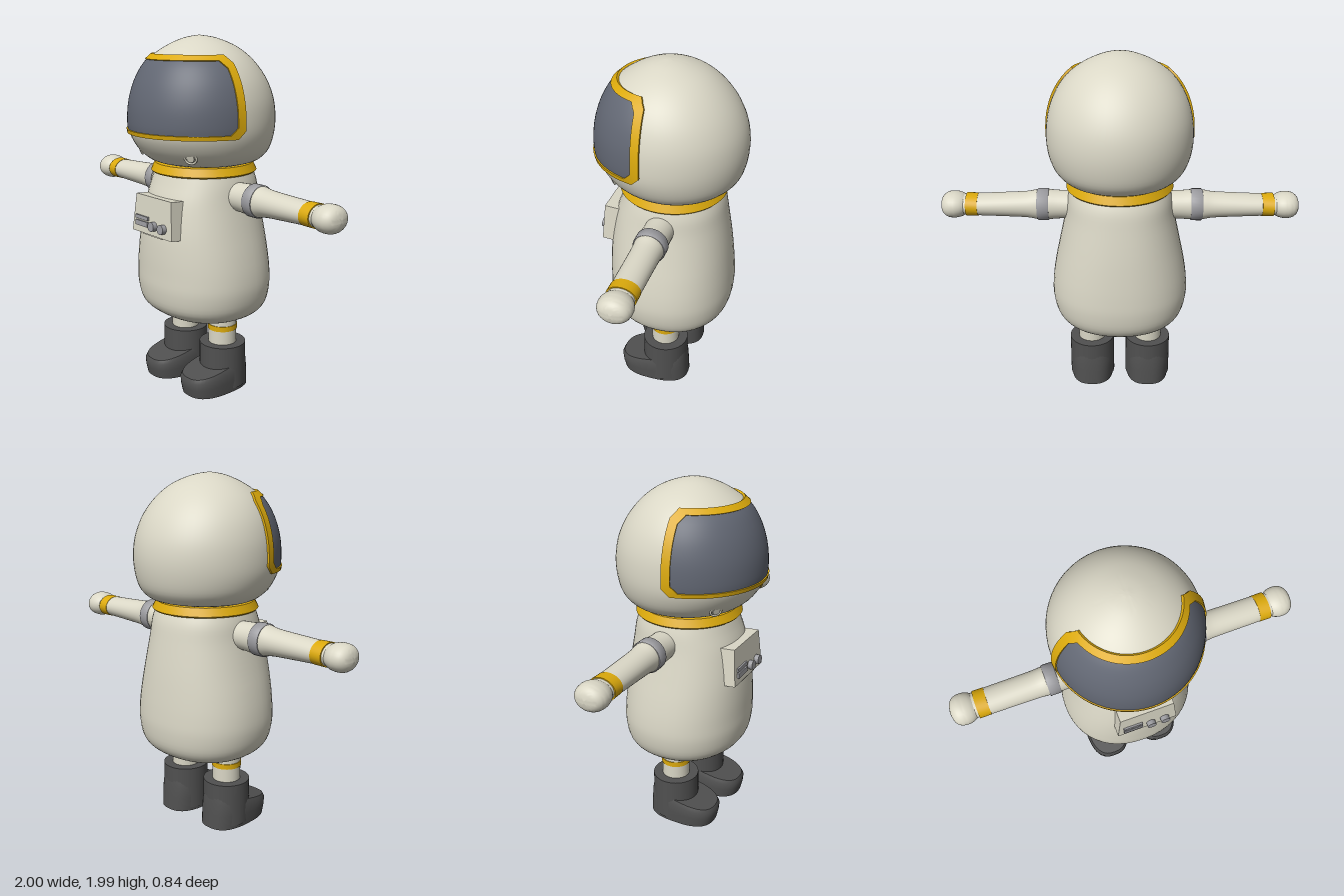
import * as THREE from 'three';
import { mergeVertices, toCreasedNormals } from 'three/addons/utils/BufferGeometryUtils.js';

const mat = (color) => new THREE.MeshStandardMaterial({ color });
const suit = mat(0xdad7c6), gold = mat(0xdcaa0c), glass = mat(0x626773);
const rubber = mat(0x505050), metal = mat(0x9c9ca0);

function add(parent, name, geometry, material, x = 0, y = 0, z = 0) {
  const mesh = new THREE.Mesh(geometry, material);
  mesh.name = name;
  mesh.position.set(x, y, z);
  parent.add(mesh);
  return mesh;
}

// Surface from point(i, j); i runs counter-clockwise, j runs up
function grid(point, nu, nv, crease = 0.8) {
  const pos = [], idx = [];
  for (let j = 0; j <= nv; j++) for (let i = 0; i <= nu; i++) pos.push(...point(i, j));
  for (let j = 0; j < nv; j++) for (let i = 0; i < nu; i++) {
    const a = j * (nu + 1) + i, d = a + nu + 1;
    idx.push(a, a + 1, d + 1, a, d + 1, d);
  }
  let g = new THREE.BufferGeometry();
  g.setAttribute('position', new THREE.Float32BufferAttribute(pos, 3));
  g.setIndex(idx);
  g = mergeVertices(g, 1e-5);
  // drop the collapsed triangles at the poles
  const m = g.index.array, keep = [];
  for (let k = 0; k < m.length; k += 3) {
    const [a, b, c] = [m[k], m[k + 1], m[k + 2]];
    if (a !== b && b !== c && c !== a) keep.push(a, b, c);
  }
  g.setIndex(keep);
  return toCreasedNormals(g, crease);
}

// Smooth sections [height, half width, z front, z back]
function sections(rows) {
  const s = [1, 2, 3].map((k) => new THREE.SplineCurve(rows.map((r) => new THREE.Vector2(r[0], r[k]))));
  return (t) => {
    const [w, f, b] = s.map((c) => c.getPoint(t));
    return { y: w.x, rx: w.y, rz: (f.y - b.y) / 2, c: (f.y + b.y) / 2 };
  };
}

// Closed loft through the sections, with capped ends
function loft(rows, { n = 48, steps = 4, power = 2, smooth = true } = {}) {
  const at = sections(rows), nv = smooth ? (rows.length - 1) * steps : rows.length - 1;
  const e = 2 / power, pw = (v) => Math.sign(v) * Math.abs(v) ** e;
  return grid((i, j) => {
    const k = THREE.MathUtils.clamp(j - 1, 0, nv), s = at(k / nv);
    const r = j === 0 || j === nv + 2 ? 0 : 1, p = ((i % n) / n) * Math.PI * 2;
    return [r * s.rx * pw(Math.sin(p)), s.y, s.c + r * s.rz * pw(Math.cos(p))];
  }, n, nv + 2);
}

const headRows = [
  [1.305, 0.26, 0.23, -0.28], [1.325, 0.31, 0.285, -0.34], [1.38, 0.36, 0.35, -0.39], [1.47, 0.392, 0.402, -0.414],
  [1.57, 0.397, 0.408, -0.418], [1.67, 0.384, 0.393, -0.399], [1.77, 0.348, 0.357, -0.352],
  [1.86, 0.285, 0.298, -0.28], [1.93, 0.195, 0.2, -0.19], [1.975, 0.09, 0.1, -0.08], [1.99, 0.005, 0.02, 0.01]];

// Point on the helmet at height y, a fraction f of the way round to the plane z = limit
const headAt = sections(headRows);
function onHead(f, y, limit, lift) {
  let lo = 0, hi = 1;
  for (let k = 0; k < 30; k++) {
    const mid = (lo + hi) / 2;
    if (headAt(mid).y < y) lo = mid; else hi = mid;
  }
  const s = headAt(lo), p = f * Math.acos((limit - s.c) / s.rz);
  const d = new THREE.Vector3(Math.sin(p), (y - 1.55) * 2, Math.cos(p)).setLength(lift);
  return [s.rx * Math.sin(p) + d.x, y + d.y, s.c + s.rz * Math.cos(p) + d.z];
}

function buildHead(parent) {
  const head = new THREE.Group();
  head.name = 'head';
  parent.add(head);
  add(head, 'helmet', loft(headRows, { n: 64 }), suit);

  // Visor with clipped corners
  add(head, 'visor', grid((i, j) => {
    const g = j / 16, reach = Math.min(1, 0.93 + 0.7 * Math.min(g, 1 - g));
    return onHead((i / 24 - 1) * reach, THREE.MathUtils.lerp(1.482, 1.873, g), 0.065, 0.005);
  }, 48, 16), glass);

  // Raised frame following the visor outline
  const corners = [[-0.93, 0], [0.93, 0], [1, 0.1], [1, 0.9], [0.93, 1], [-0.93, 1], [-1, 0.9], [-1, 0.1], [-0.93, 0]];
  const path = [corners[0]];
  for (let k = 1; k < corners.length; k++) {
    const [a, b] = [corners[k - 1], corners[k]], n = Math.abs(a[0] - b[0]) > 1 ? 40 : k % 2 ? 12 : 2;
    for (let i = 1; i <= n; i++) path.push([0, 1].map((q) => THREE.MathUtils.lerp(a[q], b[q], i / n)));
  }
  const rims = [[1.472, 1.887, 0.04, -0.003], [1.472, 1.887, 0.04, 0.012],
    [1.494, 1.86, 0.086, 0.012], [1.494, 1.86, 0.086, -0.003]];
  add(head, 'visorFrame', grid((i, j) => {
    const [f, g] = path[i], [y0, y1, limit, lift] = rims[j];
    return onHead(f, THREE.MathUtils.lerp(y0, y1, g), limit, lift);
  }, path.length - 1, 3), gold);

  // Small round ports under the visor
  for (const side of [1, -1]) {
    const port = new THREE.Group();
    port.name = 'helmetPort';
    port.position.set(side * 0.22, 1.37, 0.258);
    port.lookAt(side * 0.8, 1.05, 1.05);
    add(port, 'portRim', new THREE.TorusGeometry(0.031, 0.006, 8, 24), suit);
    add(port, 'portDisc', new THREE.CylinderGeometry(0.02, 0.02, 0.016, 20), suit).rotation.x = Math.PI / 2;
    head.add(port);
  }
}

function buildTorso(parent) {
  add(parent, 'torso', loft([
    [0.392, 0.08, 0.06, -0.1], [0.41, 0.22, 0.17, -0.22], [0.44, 0.31, 0.25, -0.305], [0.5, 0.365, 0.315, -0.355],
    [0.6, 0.388, 0.338, -0.372], [0.7, 0.385, 0.34, -0.37], [0.82, 0.366, 0.338, -0.36], [0.95, 0.338, 0.328, -0.345],
    [1.1, 0.306, 0.3, -0.322], [1.2, 0.29, 0.265, -0.304], [1.27, 0.27, 0.24, -0.275]], { power: 2.2 }), suit);

  // Neck ring
  const ring = [[0.24, 1.25], [0.29, 1.25], [0.297, 1.258], [0.276, 1.302], [0.24, 1.305]];
  add(parent, 'neckRing', toCreasedNormals(
    new THREE.LatheGeometry(ring.map((p) => new THREE.Vector2(...p)), 48), 0.6), gold, 0, 0, -0.018);
}

function buildChestPanel(parent) {
  const panel = new THREE.Group();
  panel.name = 'chestPanel';
  panel.position.set(0, 1.033, 0.347);
  panel.rotation.x = -0.08;
  parent.add(panel);
  const face = new THREE.Shape([[-0.175, -0.105], [0.175, -0.105], [0.155, 0.105], [-0.155, 0.105]]
    .map((p) => new THREE.Vector2(...p)));
  add(panel, 'panelBox', new THREE.ExtrudeGeometry(face, { depth: 0.1, bevelEnabled: false }), suit, 0, 0, -0.1);
  add(panel, 'panelTab', new THREE.BoxGeometry(0.17, 0.01, 0.05), suit, 0, -0.107, -0.03);
  add(panel, 'upperSlot', new THREE.BoxGeometry(0.11, 0.02, 0.016), metal, -0.085, -0.02, 0.003);
  add(panel, 'lowerSlot', new THREE.BoxGeometry(0.11, 0.028, 0.016), metal, -0.085, -0.053, 0.003);
  for (const x of [0.02, 0.102]) {
    add(panel, 'knob', new THREE.CylinderGeometry(0.026, 0.026, 0.036, 24), metal, x, -0.052, 0.008).rotation.x = Math.PI / 2;
  }
}

function buildArm(parent, side) {
  const arm = new THREE.Group();
  arm.name = side > 0 ? 'leftArm' : 'rightArm';
  arm.position.set(0, 1.14, -0.024);
  arm.rotation.z = -side * Math.PI / 2;
  parent.add(arm);
  // Rows [distance from centre, half height, half depth]
  const part = (name, rows, material, smooth) =>
    add(arm, name, loft(rows.map(([d, h, w]) => [d, h, w, -w]), { n: 32, smooth }), material);
  part('sleeve', [[0.22, 0.075, 0.08], [0.34, 0.08, 0.081], [0.4, 0.085, 0.083], [0.46, 0.084, 0.082],
    [0.52, 0.073, 0.079], [0.65, 0.066, 0.078], [0.79, 0.06, 0.077], [0.89, 0.056, 0.07]], suit, true);
  part('elbowBand', [[0.395, 0.085, 0.086], [0.4, 0.09, 0.089], [0.455, 0.09, 0.089], [0.46, 0.085, 0.086]], metal, false);
  part('wristBand', [[0.79, 0.062, 0.079], [0.855, 0.063, 0.08]], gold, false);
  part('hand', [[0.86, 0.052, 0.066], [0.885, 0.066, 0.082], [0.92, 0.073, 0.09], [0.96, 0.068, 0.083],
    [0.988, 0.045, 0.056], [1, 0.004, 0.004]], suit, true);
}

function buildLeg(parent, side) {
  const leg = new THREE.Group();
  leg.name = side > 0 ? 'leftLeg' : 'rightLeg';
  leg.position.set(side * 0.168, 0, 0);
  parent.add(leg);
  add(leg, 'trouser', new THREE.CylinderGeometry(0.08, 0.08, 0.25, 32), suit, 0, 0.345, -0.017);
  add(leg, 'ankleBand', new THREE.CylinderGeometry(0.084, 0.084, 0.03, 32), gold, 0, 0.365, -0.017);
  add(leg, 'bootShaft', new THREE.CylinderGeometry(0.132, 0.133, 0.25, 40), rubber, 0, 0.145, -0.018);
  // Foot: its upper surface rises from the toe towards the shaft
  const foot = loft([[0, 0.128, 0.238, -0.163], [0.05, 0.132, 0.25, -0.158], [0.09, 0.132, 0.254, -0.153],
    [0.11, 0.122, 0.243, -0.148]], { n: 40, power: 2.6, smooth: false });
  const p = foot.attributes.position;
  for (let i = 0; i < p.count; i++) p.setY(i, p.getY(i) * (1 + Math.max(0, 0.25 - p.getZ(i)) * 1.8));
  foot.computeVertexNormals();
  add(leg, 'bootFoot', toCreasedNormals(foot, 0.8), rubber);
}

export function createModel() {
  const model = new THREE.Group();
  model.name = 'astronaut';
  buildHead(model);
  buildTorso(model);
  buildChestPanel(model);
  for (const side of [1, -1]) {
    buildArm(model, side);
    buildLeg(model, side);
  }
  return model;
}
